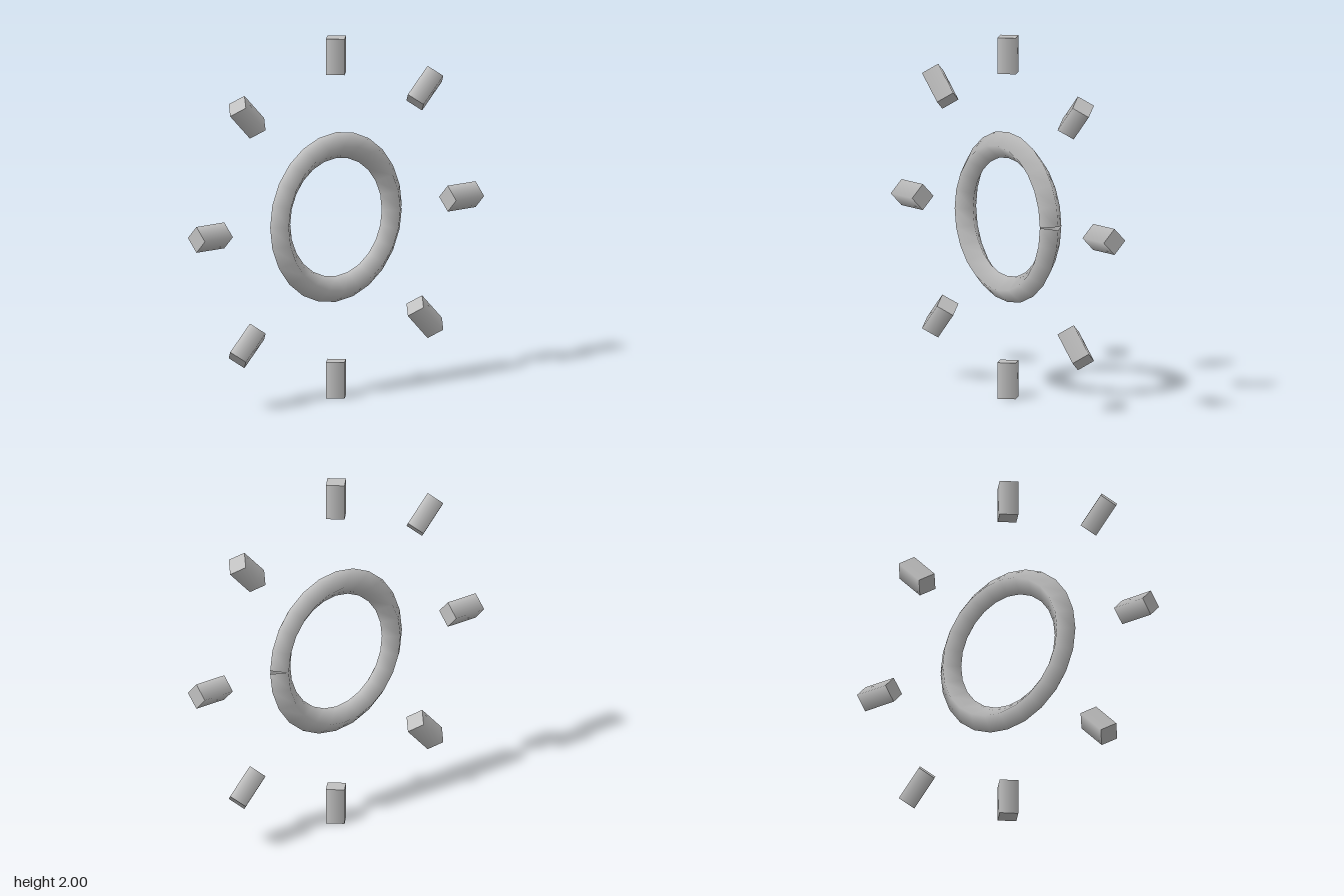
import * as THREE from 'three';

const TUBE = 0.072;

// Four-sided ring whose two end sections tilt apart, leaving a notch at +x
function splitRing(radius, segments) {
  const geo = new THREE.TorusGeometry(radius, TUBE, 4, segments);
  const pos = geo.attributes.position;
  const tilt = Math.PI / segments;
  for (let j = 0; j <= 4; j++) {
    for (const [i, side] of [[0, 1], [segments, -1]]) {
      const k = j * (segments + 1) + i;
      const out = pos.getX(k) - radius;
      pos.setX(k, radius + out * Math.cos(tilt));
      pos.setY(k, side * out * Math.sin(tilt));
    }
  }
  return geo;
}

export function createModel() {
  const group = new THREE.Group();
  const grey = new THREE.MeshStandardMaterial({ color: 0xc0c0c0, side: THREE.DoubleSide });
  grey.name = 'light grey';

  // Central ring
  const ring = new THREE.Mesh(splitRing(0.4, 24), grey);
  ring.name = 'ring';
  ring.position.y = 1;
  group.add(ring);

  // Eight short rays around the ring
  const rayGeo = new THREE.CylinderGeometry(TUBE, TUBE, 0.2, 4);
  for (let i = 0; i < 8; i++) {
    const a = (i * Math.PI) / 4;
    const ray = new THREE.Mesh(rayGeo, grey);
    ray.name = `ray${i + 1}`;
    ray.position.set(0.9 * Math.cos(a), 1 + 0.9 * Math.sin(a), 0);
    ray.rotation.z = a - Math.PI / 2;
    group.add(ray);
  }
  return group;
}
